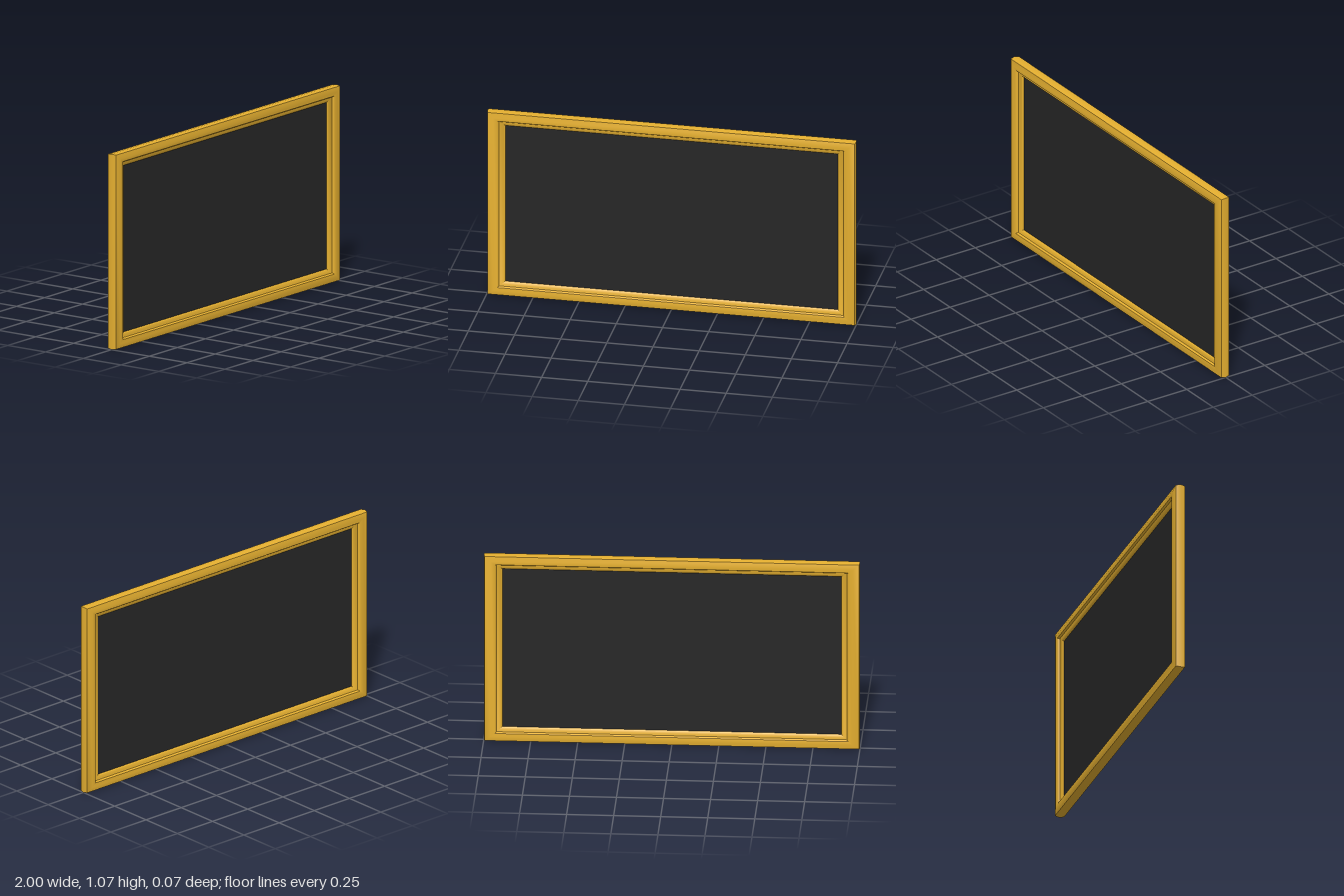
import * as THREE from 'three';
import { toCreasedNormals } from 'three/addons/utils/BufferGeometryUtils.js';

const HALF_W = 1, HEIGHT = 1.067;
const Y_SCALE = 0.8; // top and bottom rails are slimmer than the side rails

// Moulding section, inner lip to outer rim: [inset from the rim, z]
const FRONT = [
  [0.1, 0.005], [0.093, 0.012], [0.08, 0.017], [0.068, 0.02],
  [0.064, 0.027], [0.06, 0.031], [0.038, 0.034], [0.005, 0.0255],
];
const BACK = FRONT.map(([u, z]) => [u, -z]).reverse();
const SECTION = [...FRONT, [0, 0], ...BACK];

// Sweeps the section round a rectangle with mitred corners
function mouldingGeometry() {
  const corners = [[-1, -1], [1, -1], [1, 1], [-1, 1]];
  const point = ([u, z], [sx, sy]) =>
    [sx * (HALF_W - u), sy * (HEIGHT / 2 - u * Y_SCALE), z];
  const positions = [];
  for (let k = 0; k < 4; k++) {
    const start = corners[k], end = corners[(k + 1) % 4];
    for (let i = 0; i < SECTION.length - 1; i++) {
      const a = point(SECTION[i + 1], start), b = point(SECTION[i + 1], end);
      const c = point(SECTION[i], end), d = point(SECTION[i], start);
      positions.push(...a, ...b, ...c, ...a, ...c, ...d);
    }
  }
  const geometry = new THREE.BufferGeometry();
  geometry.setAttribute('position', new THREE.Float32BufferAttribute(positions, 3));
  return toCreasedNormals(geometry, 0.65);
}

export function createModel() {
  const group = new THREE.Group();
  group.name = 'framedBoard';

  // Gold moulding, the same on both sides
  const frame = new THREE.Mesh(
    mouldingGeometry(),
    new THREE.MeshStandardMaterial({ color: 0xe6b030 }),
  );
  frame.name = 'frame';

  // Dark board held in the middle of the frame
  const board = new THREE.Mesh(
    new THREE.BoxGeometry(2 * (HALF_W - 0.098), HEIGHT - 2 * 0.098 * Y_SCALE, 0.012),
    new THREE.MeshStandardMaterial({ color: 0x262626 }),
  );
  board.name = 'board';

  for (const part of [frame, board]) {
    part.position.y = HEIGHT / 2;
    group.add(part);
  }
  return group;
}
